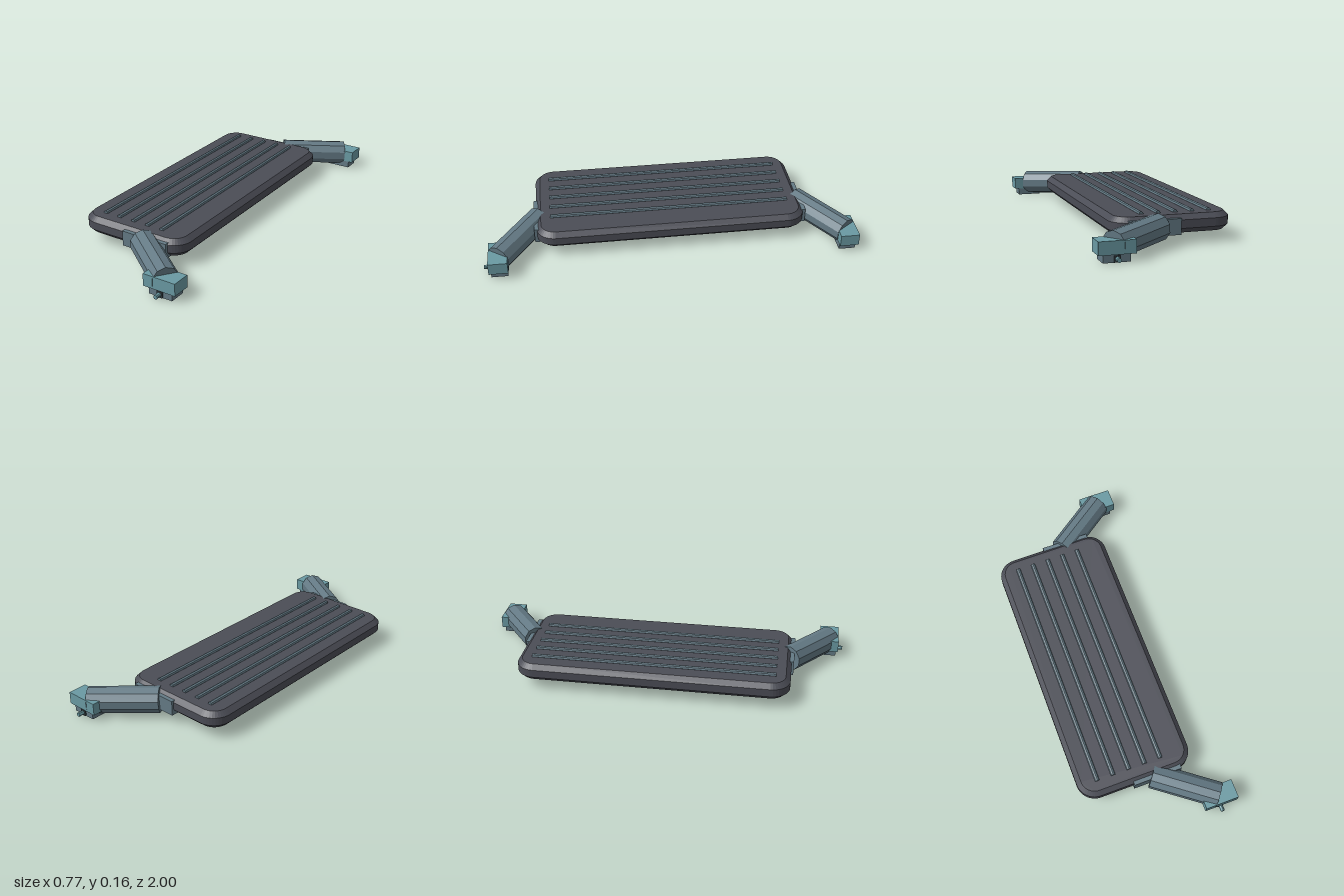
import * as THREE from 'three';

export function createModel() {
  const model = new THREE.Group();
  const material = (name, color) => {
    const m = new THREE.MeshStandardMaterial({ color, flatShading: true });
    m.name = name;
    return m;
  };
  const charcoal = material('charcoal', 0x4b4d56);
  const steel = material('steel', 0x647a85);
  const teal = material('teal', 0x6a9aa3);
  const dark = material('dark metal', 0x3b454b);

  const add = (name, geometry, mat, x = 0, y = 0, z = 0) => {
    const mesh = new THREE.Mesh(geometry, mat);
    mesh.name = name;
    mesh.position.set(x, y, z);
    model.add(mesh);
    return mesh;
  };
  // box from its minimum and maximum corners, with z mirrored by side
  const box = (name, mat, [x0, x1], [y0, y1], [z0, z1], side) =>
    add(name, new THREE.BoxGeometry(x1 - x0, y1 - y0, z1 - z0), mat,
      (x0 + x1) / 2, (y0 + y1) / 2, side * (z0 + z1) / 2);

  // rounded tread slab with a chamfered rim
  const bevel = 0.025, w = 0.31 - bevel, l = 0.72 - bevel, r = 0.075;
  const outline = new THREE.Shape();
  outline.absarc(w - r, l - r, r, 0, Math.PI / 2);
  outline.absarc(-w + r, l - r, r, Math.PI / 2, Math.PI);
  outline.absarc(-w + r, -l + r, r, Math.PI, Math.PI * 1.5);
  outline.absarc(w - r, -l + r, r, Math.PI * 1.5, Math.PI * 2);
  const slab = new THREE.ExtrudeGeometry(outline, {
    depth: 0.042, bevelSize: bevel, bevelThickness: bevel, bevelSegments: 1, curveSegments: 5,
  });
  slab.rotateX(-Math.PI / 2);
  add('treadSlab', slab, charcoal, -0.075, 0.08, 0);

  // grip ribs along the tread
  for (let i = 0; i < 5; i++) {
    const rib = new THREE.CylinderGeometry(0.012, 0.012, 1.29, 8);
    rib.rotateX(Math.PI / 2);
    add('gripRib', rib, steel, -0.278 + i * 0.0876, 0.148, 0);
  }

  // matching bracket, arm and clamp at each end
  for (const side of [1, -1]) {
    box('mountBlock', steel, [-0.103, 0.16], [0.052, 0.132], [0.61, 0.732], side);

    const start = new THREE.Vector3(0.004, 0.092, side * 0.706);
    const end = new THREE.Vector3(0.298, 0.073, side * 0.921);
    const armShape = new THREE.CylinderGeometry(0.068, 0.068, start.distanceTo(end), 10);
    armShape.rotateX(-Math.PI / 2);
    const middle = start.clone().lerp(end, 0.5);
    add('arm', armShape, steel, middle.x, middle.y, middle.z).lookAt(end);

    box('clampBlock', teal, [0.205, 0.385], [0.04, 0.104], [0.872, 0.972], side);
    box('lowerJaw', steel, [0.23, 0.361], [0.002, 0.04], [0.875, 0.962], side);
    box('pinSocket', dark, [0.279, 0.31], [0.004, 0.035], [0.93, 0.97], side);

    const pin = new THREE.CylinderGeometry(0.011, 0.011, 0.06, 10);
    pin.rotateX(Math.PI / 2);
    add('pin', pin, teal, 0.295, 0.02, side * 0.97);
  }
  return model;
}
